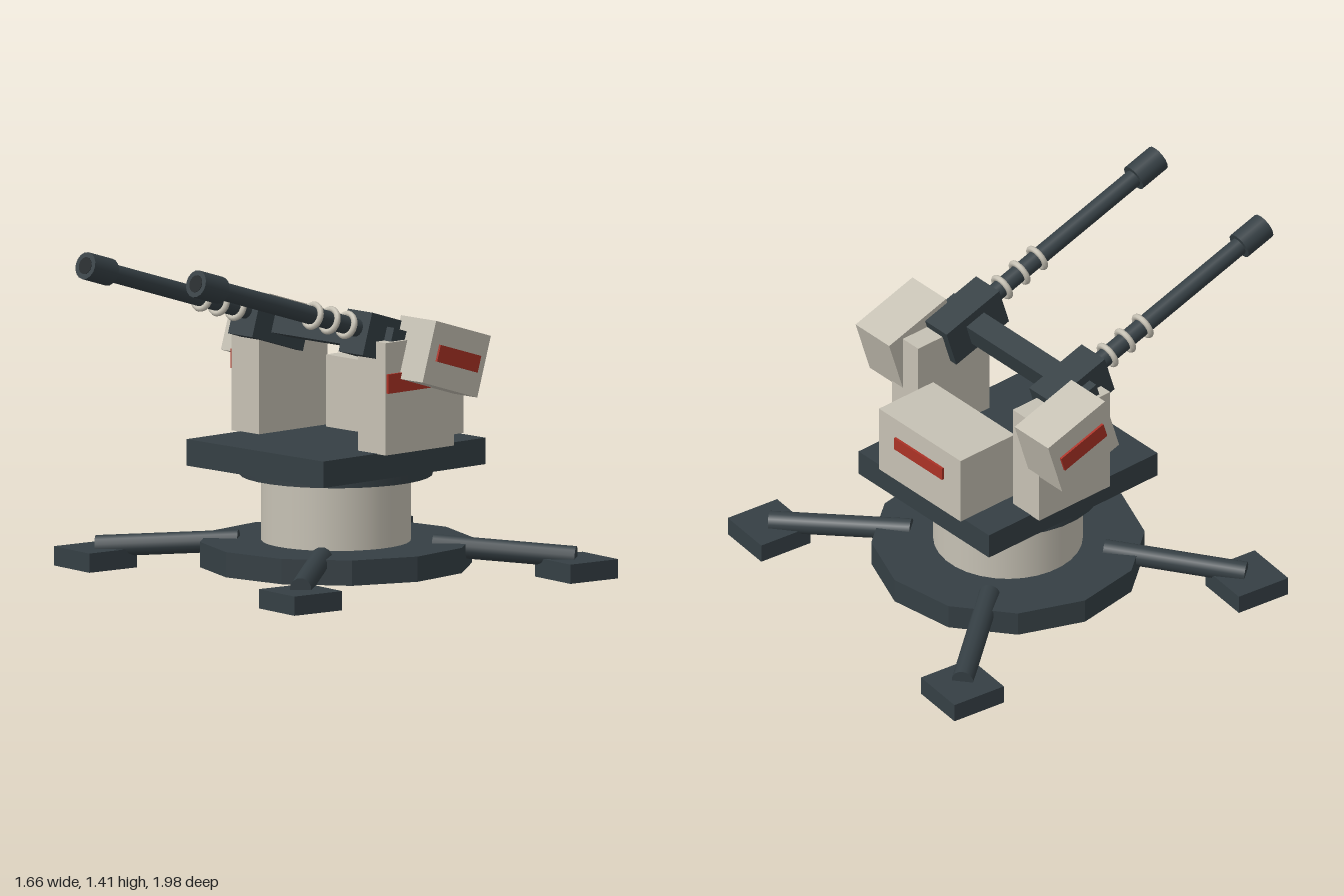
import * as THREE from 'three';

const dark = new THREE.MeshStandardMaterial({ color: 0x353f44 });
const darkFlat = new THREE.MeshStandardMaterial({ color: 0x353f44, flatShading: true });
const black = new THREE.MeshStandardMaterial({ color: 0x1d2326 });
const beige = new THREE.MeshStandardMaterial({ color: 0xc6c1b4 });
const red = new THREE.MeshStandardMaterial({ color: 0xab3226 });

function add(parent, name, geometry, material, x = 0, y = 0, z = 0) {
  const mesh = new THREE.Mesh(geometry, material);
  mesh.name = name;
  mesh.position.set(x, y, z);
  parent.add(mesh);
  return mesh;
}

const box = (w, h, d) => new THREE.BoxGeometry(w, h, d);

// Cylinder lying along z
const rod = (r, length, sides = 16) =>
  new THREE.CylinderGeometry(r, r, length, sides).rotateX(Math.PI / 2);

// Cylinder between two points
function strut(parent, name, a, b, r, material) {
  const dir = b.clone().sub(a);
  const mesh = add(parent, name, new THREE.CylinderGeometry(r, r, dir.length(), 12), material);
  mesh.position.copy(a).lerp(b, 0.5);
  mesh.quaternion.setFromUnitVectors(new THREE.Vector3(0, 1, 0), dir.normalize());
}

// Twelve-sided base with four splayed legs and square feet
function buildBase() {
  const base = new THREE.Group();
  base.name = 'base';
  add(base, 'baseDisc', new THREE.CylinderGeometry(0.563, 0.563, 0.105, 12), darkFlat, 0, 0.0825, 0);
  add(base, 'pedestal', new THREE.CylinderGeometry(0.308, 0.308, 0.29, 32), beige, 0, 0.27, 0);
  add(base, 'collar', new THREE.CylinderGeometry(0.398, 0.398, 0.04, 32), dark, 0, 0.43, 0);
  for (const sx of [-1, 1]) for (const sz of [-1, 1]) {
    add(base, 'foot', box(0.245, 0.08, 0.245), dark, sx * 0.706, 0.04, sz * 0.706);
    strut(base, 'leg', new THREE.Vector3(sx * 0.285, 0.122, sz * 0.285),
      new THREE.Vector3(sx * 0.704, 0.085, sz * 0.704), 0.045, dark);
  }
  return base;
}

// One barrel with its cradle, cooling rings and muzzle
function buildGun(side) {
  const gun = new THREE.Group();
  gun.name = side > 0 ? 'leftGun' : 'rightGun';
  gun.position.x = side * 0.33;
  const axis = 0.018;
  add(gun, 'cradle', box(0.145, 0.18, 0.3), dark);
  add(gun, 'barrel', rod(0.038, 0.9), dark, 0, axis, 0.58);
  add(gun, 'muzzle', rod(0.057, 0.14), dark, 0, axis, 1.03);
  add(gun, 'bore', rod(0.036, 0.004), black, 0, axis, 1.1);
  for (let i = 0; i < 3; i++) {
    add(gun, 'coolingRing', new THREE.TorusGeometry(0.047, 0.013, 8, 20), beige, 0, axis, 0.21 + i * 0.1);
  }
  return gun;
}

// Pitched assembly: cross beam, two guns and two side pods
function buildCannons() {
  const cannons = new THREE.Group();
  cannons.name = 'cannons';
  cannons.position.set(0, 1.013, 0.06);
  cannons.rotation.x = -0.3;
  add(cannons, 'crossBeam', box(0.89, 0.1, 0.1), dark);
  for (const side of [-1, 1]) {
    cannons.add(buildGun(side));
    add(cannons, 'sidePod', box(0.21, 0.26, 0.324), beige, side * 0.497, -0.018, -0.186);
    add(cannons, 'podStripe', box(0.02, 0.07, 0.24), red, side * 0.602, -0.014, -0.19);
  }
  return cannons;
}

// Rotating deck with posts, rear housing and cannons
function buildTurret() {
  const turret = new THREE.Group();
  turret.name = 'turret';
  turret.rotation.y = 0.12;
  add(turret, 'deck', box(0.816, 0.11, 0.918), dark, 0, 0.5, 0);
  add(turret, 'rearHousing', box(0.51, 0.3, 0.295), beige, 0, 0.705, -0.333);
  add(turret, 'housingStripe', box(0.3, 0.055, 0.02), red, 0, 0.74, -0.481);
  for (const side of [-1, 1]) {
    add(turret, 'sidePost', box(0.165, 0.467, 0.387), beige, side * 0.378, 0.7865, -0.038);
    add(turret, 'postStripe', box(0.02, 0.08, 0.37), red, side * 0.461, 0.85, -0.035);
  }
  turret.add(buildCannons());
  return turret;
}

export function createModel() {
  const model = new THREE.Group();
  model.name = 'gunTurret';
  const body = new THREE.Group();
  body.name = 'body';
  body.position.z = -0.172;
  body.add(buildBase(), buildTurret());
  model.add(body);
  return model;
}
